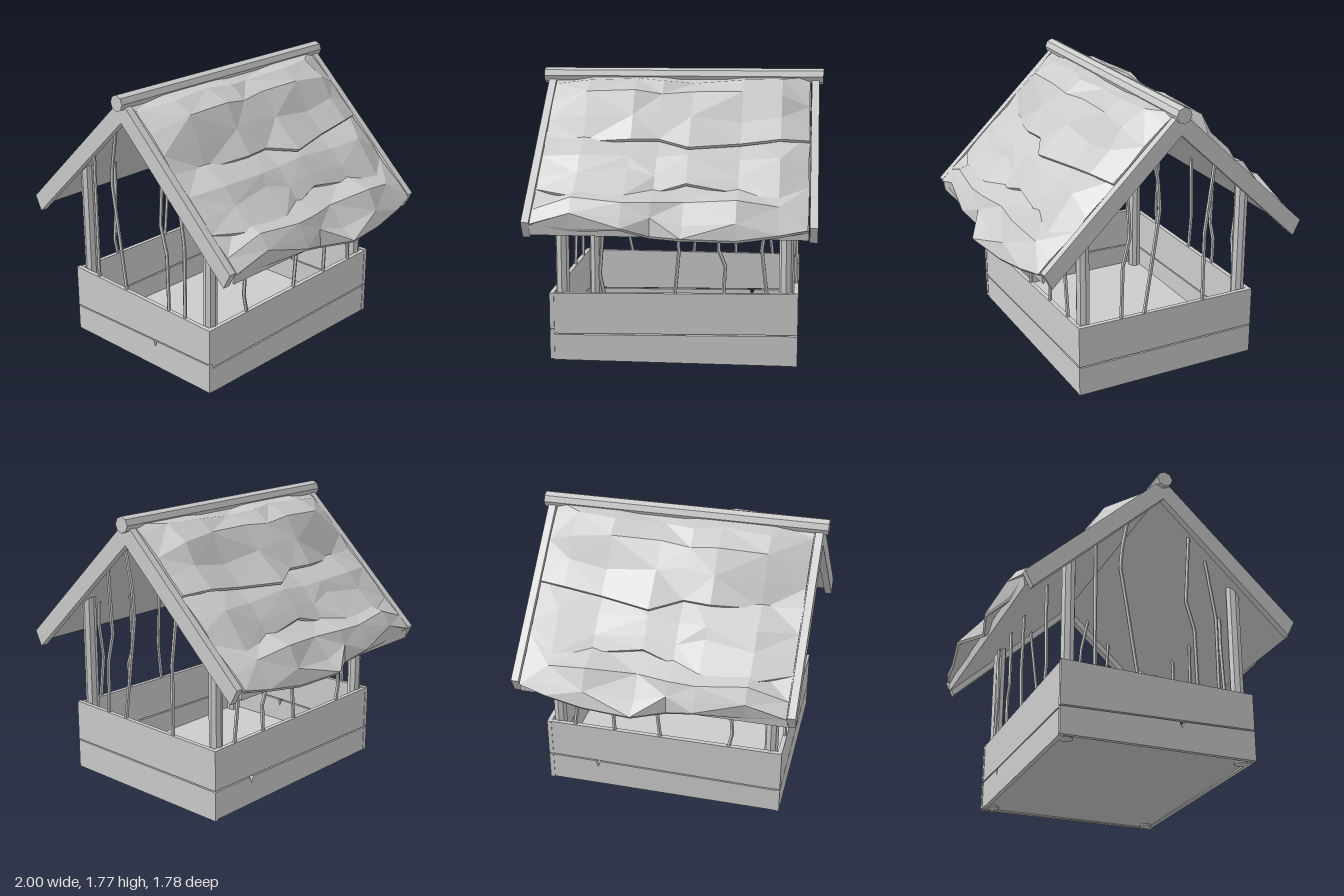
import * as THREE from 'three';

const mat = new THREE.MeshStandardMaterial({ color: 0xcccccc, flatShading: true });

// Roof frame: s runs down the slope from the ridge, n stands off it
const RIDGE = 1.72, DX = 0.725, DY = -0.689;
const toRoof = (s, n) => [s * DX - n * DY, RIDGE + s * DY + n * DX];

const hash = (a, b, c) => {
  const v = Math.sin(a * 12.99 + b * 78.23 + c * 37.72 + 4.1) * 43758.55;
  return v - Math.floor(v);
};

function add(parent, name, geometry) {
  const mesh = new THREE.Mesh(geometry, mat);
  mesh.name = name;
  parent.add(mesh);
  return mesh;
}

// Flat outline in x/y given a thickness along z
function board(points, depth) {
  const shape = new THREE.Shape(points.map(p => new THREE.Vector2(p[0], p[1])));
  return new THREE.ExtrudeGeometry(shape, { depth, bevelEnabled: false });
}

// Bent twig made of short straight rods
function twig(parent, name, points) {
  const group = new THREE.Group();
  group.name = name;
  for (let i = 0; i + 1 < points.length; i++) {
    const a = new THREE.Vector3(...points[i]), b = new THREE.Vector3(...points[i + 1]);
    const dir = b.clone().sub(a);
    const rod = add(group, 'twigSegment', new THREE.CylinderGeometry(0.012, 0.012, dir.length() + 0.006, 5));
    rod.position.copy(a).add(b).multiplyScalar(0.5);
    rod.quaternion.setFromUnitVectors(new THREE.Vector3(0, 1, 0), dir.normalize());
  }
  parent.add(group);
}

// Lumpy thatch layer: a closed profile at each z station, joined into a skin
const STATIONS = [0.81, 0.57, 0.27, 0.1, -0.09, -0.4, -0.64, -0.81];
function thatch(layer, index, side) {
  const last = STATIONS.length - 1;
  const rings = STATIONS.map((z, k) => {
    const end = k === 0 || k === last;
    const ring = [toRoof(layer.start, 0)];
    layer.rows.forEach(([s, n, low], r) => {
      const lift = end ? 0.15 : low + (1 - low) * hash(index, k, r);
      ring.push(toRoof(s + (hash(k, r, index + 5) - 0.5) * 0.06, n * lift));
    });
    const [ex, ey] = layer.edge[k];
    ring.push([ex, ey + 0.012], [ex - 0.012, ey - 0.004], toRoof(layer.start, -0.03));
    return ring.map(p => [p[0] * side, p[1], z]);
  });
  const pos = [];
  const tri = (a, b, c) => pos.push(...a, ...(side > 0 ? b : c), ...(side > 0 ? c : b));
  const m = rings[0].length;
  for (let k = 0; k < last; k++) {
    for (let i = 0; i < m; i++) {
      const j = (i + 1) % m;
      const a = rings[k][i], b = rings[k][j], c = rings[k + 1][j], d = rings[k + 1][i];
      if ((i + k) % 2) { tri(a, b, c); tri(a, c, d); }
      else { tri(a, b, d); tri(b, c, d); }
    }
  }
  for (let i = 0; i < m - 2; i++) {
    tri(rings[0][m - 1], rings[0][i + 1], rings[0][i]);
    tri(rings[last][m - 1], rings[last][i], rings[last][i + 1]);
  }
  const g = new THREE.BufferGeometry();
  g.setAttribute('position', new THREE.Float32BufferAttribute(pos, 3));
  g.computeVertexNormals();
  return g;
}

// rows: distance down the slope, greatest height, least share of that height
// edge: lower rim in x and y at each station
const LAYERS = [
  { start: 0, rows: [[0.1, 0.1, 0.4], [0.25, 0.16, 0.6], [0.41, 0.12, 0.4]],
    edge: [[0.42, 1.3], [0.4, 1.33], [0.47, 1.355], [0.45, 1.355], [0.55, 1.32], [0.48, 1.335], [0.47, 1.365], [0.41, 1.35]] },
  { start: 0.48, rows: [[0.71, 0.085, 0.4], [0.82, 0.085, 0.4]],
    edge: [[0.68, 1.07], [0.78, 1.05], [0.77, 1.06], [0.71, 1.065], [0.68, 1.12], [0.7, 1.07], [0.75, 1.04], [0.64, 1.1]] },
  { start: 0.88, rows: [[1.08, 0.12, 0.35], [1.18, 0.1, 0.35]],
    edge: [[0.86, 0.89], [0.87, 0.87], [0.93, 0.89], [0.89, 0.84], [1.0, 0.85], [0.95, 0.835], [0.92, 0.865], [0.87, 0.89]] },
];

export function createModel() {
  const model = new THREE.Group();
  model.name = 'thatchedShelter';

  // Floor and corner posts
  add(model, 'floor', new THREE.BoxGeometry(1.18, 0.02, 1.48)).position.y = 0.025;
  for (const x of [-0.545, 0.545]) for (const z of [-0.685, 0.685]) {
    add(model, 'cornerPost', new THREE.CylinderGeometry(0.042, 0.042, 1.16, 8)).position.set(x, 0.585, z);
  }

  // Plank walls: uneven top edges, a slanting seam and sometimes a nick below it
  const wall = (name, half, seamA, seamB, topA, topB, nickX) => {
    const group = new THREE.Group();
    group.name = name;
    const seam = x => seamA + (seamB - seamA) * (x + half) / (2 * half);
    const nick = nickX === undefined ? []
      : [0.015, 0, -0.015].map(d => [nickX + d, seam(nickX + d) - (d ? 0 : 0.04)]);
    add(group, 'lowerPlank', board([[-half, 0.005], [half, 0.01], [half, seamB], ...nick, [-half, seamA]], 0.028));
    add(group, 'upperPlank', board([[-half, seamA + 0.008], [half, seamB + 0.008], [half, topB], [-half, topA]], 0.028));
    model.add(group);
    return group;
  };
  wall('frontWall', 0.608, 0.17, 0.195, 0.455, 0.43, 0.135).position.z = 0.732;
  wall('backWall', 0.608, 0.19, 0.195, 0.45, 0.465).position.z = -0.76;
  const leftWall = wall('leftWall', 0.732, 0.165, 0.197, 0.427, 0.46);
  const rightWall = wall('rightWall', 0.732, 0.165, 0.19, 0.45, 0.45, 0.43);
  leftWall.rotation.y = rightWall.rotation.y = Math.PI / 2;
  leftWall.position.x = 0.577;
  rightWall.position.x = -0.605;

  // Twigs across the open front and back
  const frontTwigs = [
    [[-0.4, 0.4], [-0.4, 0.9], [-0.4, 1.28]],
    [[-0.13, 0.4], [-0.2, 0.87], [-0.24, 1.12], [-0.23, 1.25], [-0.19, 1.47]],
    [[0.25, 0.4], [0.24, 0.8], [0.19, 0.98], [0.22, 1.43]],
    [[0.39, 0.4], [0.39, 0.9], [0.33, 1.29]],
  ];
  const backTwigs = [
    [[-0.25, 0.4], [-0.25, 0.9], [-0.31, 1.37]],
    [[0.17, 0.4], [0.09, 0.94], [0.065, 1.12], [0.08, 1.3], [0.13, 1.54]],
    [[0.32, 0.4], [0.31, 0.8], [0.265, 0.98], [0.29, 1.38]],
  ];
  frontTwigs.forEach(p => twig(model, 'frontTwig', p.map(([x, y]) => [x, y, 0.745])));
  backTwigs.forEach(p => twig(model, 'backTwig', p.map(([x, y]) => [x, y, -0.745])));

  // Twigs along both sides, as z and y
  const sideTwigs = [
    [[0.41, 0.38], [0.445, 0.55], [0.42, 0.87], [0.42, 1.13]],
    [[-0.01, 0.38], [-0.04, 0.7], [-0.03, 0.85], [-0.02, 1.13]],
    [[-0.31, 0.38], [-0.32, 0.62], [-0.28, 0.72], [-0.29, 1.13]],
    [[-0.58, 0.38], [-0.54, 0.72], [-0.57, 0.95], [-0.56, 1.13]],
  ];
  for (const side of [-1, 1]) {
    sideTwigs.forEach(p => twig(model, 'sideTwig', p.map(([z, y]) => [side * 0.59, y, z])));
  }

  // Roof: inner slab, gable boards, ridge pole and three thatch layers per side
  const chevron = (topLength, top, bottomLength, bottom) => {
    const half = [toRoof(topLength, top), toRoof(bottomLength, bottom)];
    return [[0, RIDGE + top / DX], ...half, [0, RIDGE + bottom / DX], ...half.reverse().map(([x, y]) => [-x, y])];
  };
  add(model, 'roofSlab', board(chevron(1.19, 0, 1.225, -0.05), 1.63)).position.z = -0.815;
  for (const z of [-0.867, 0.815]) {
    add(model, 'gableBoard', board(chevron(1.185, 0.015, 1.215, -0.087), 0.047)).position.z = z;
  }
  const pole = add(model, 'ridgePole', new THREE.CylinderGeometry(0.05, 0.05, 1.785, 8));
  pole.rotation.x = Math.PI / 2;
  pole.position.y = 1.725;
  for (const side of [-1, 1]) {
    LAYERS.forEach((layer, i) => add(model, 'thatchLayer', thatch(layer, i, side)));
  }
  return model;
}
